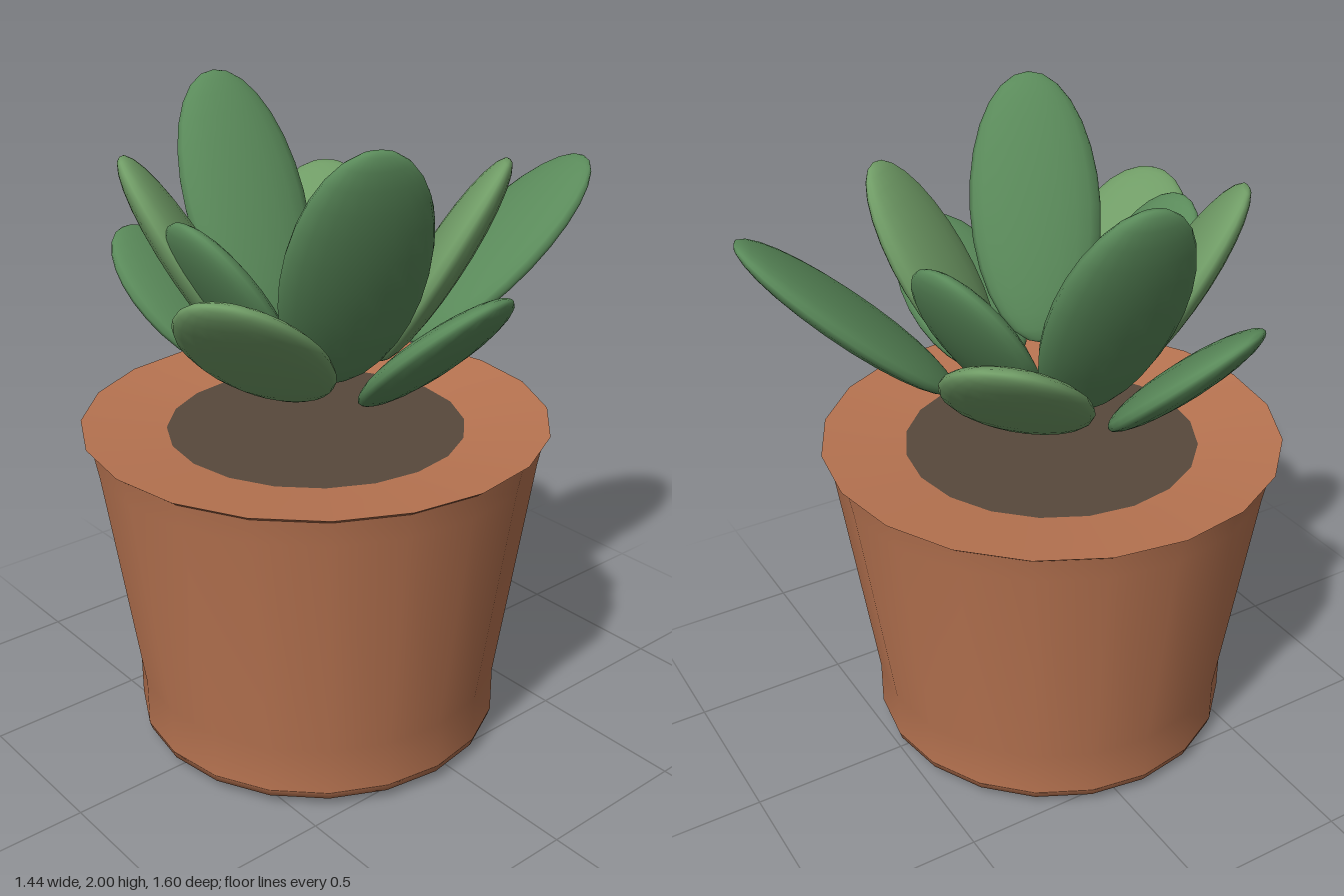
import * as THREE from 'three';

const POT_Z = 0.08; // axis of the pot and plant
const SIDES = 20;

const lathe = (name, points, material) => {
  const profile = points.map(([r, y]) => new THREE.Vector2(r, y));
  const mesh = new THREE.Mesh(new THREE.LatheGeometry(profile, SIDES), material);
  mesh.name = name;
  return mesh;
};

export function createModel() {
  const model = new THREE.Group();
  model.name = 'pottedSucculent';
  const clay = new THREE.MeshStandardMaterial({ color: 0xb87451 });
  const earth = new THREE.MeshStandardMaterial({ color: 0x58483b });
  const green = new THREE.MeshStandardMaterial({ color: 0x5a8a5a });
  const lightGreen = new THREE.MeshStandardMaterial({ color: 0x709c66 });

  // Pot: bevelled foot, flared wall, thin lip, and a top sloping gently to the soil
  const pot = new THREE.Group();
  pot.name = 'pot';
  pot.position.z = POT_Z;
  pot.add(
    lathe('potBase', [[0, 0], [0.45, 0], [0.572, 0.035], [0.58, 0.06]], clay),
    lathe('potWall', [[0.58, 0.06], [0.58, 0.21], [0.685, 0.95], [0.7, 1.03]], clay),
    lathe('potLip', [[0.7, 1.03], [0.72, 1.045]], clay),
    lathe('potTop', [[0.72, 1.045], [0.46, 1.015]], clay),
    lathe('soil', [[0.46, 1.015], [0, 1.015]], earth),
  );
  model.add(pot);

  // Leaf kinds: half length, half width, half thickness, lean and centre height;
  // each placed at [azimuth in degrees from the front, distance from the axis]
  const kinds = [
    { name: 'tallLeaf', size: [0.43, 0.21, 0.075], lean: 28, y: 1.62, color: green, at: [[-98.7, 0.43], [65.6, 0.42]] },
    { name: 'upperLeaf', size: [0.358, 0.2, 0.065], lean: 30.5, y: 1.55, color: lightGreen, at: [[-34.4, 0.372], [131.5, 0.374]] },
    { name: 'innerLeaf', size: [0.3, 0.2, 0.06], lean: 32, y: 1.475, color: green, at: [[0, 0.31], [-164, 0.318]] },
    { name: 'spreadLeaf', size: [0.35, 0.21, 0.06], lean: 50, y: 1.427, color: lightGreen, at: [[33, 0.52], [-132, 0.528]] },
    { name: 'lowLeaf', size: [0.294, 0.21, 0.055], lean: 47.5, y: 1.357, color: green, at: [[98, 0.454], [-66, 0.46]] },
    { name: 'backLeaf', size: [0.4, 0.21, 0.055], lean: 49, y: 1.503, color: green, at: [[164, 0.61]] },
  ];

  // Rosette of flattened ellipsoid leaves leaning outwards
  const rosette = new THREE.Group();
  rosette.name = 'rosette';
  rosette.position.z = POT_Z;
  const ball = new THREE.SphereGeometry(1, 20, 14);
  for (const { name, size, lean, y, color, at } of kinds) {
    const [length, width, thickness] = size;
    for (const [degrees, distance] of at) {
      const azimuth = THREE.MathUtils.degToRad(degrees);
      const leaf = new THREE.Mesh(ball, color);
      leaf.name = name;
      leaf.scale.set(width, length, thickness);
      leaf.rotation.set(THREE.MathUtils.degToRad(lean), azimuth, 0, 'YXZ');
      leaf.position.set(Math.sin(azimuth) * distance, y, Math.cos(azimuth) * distance);
      rosette.add(leaf);
    }
  }
  model.add(rosette);
  return model;
}
